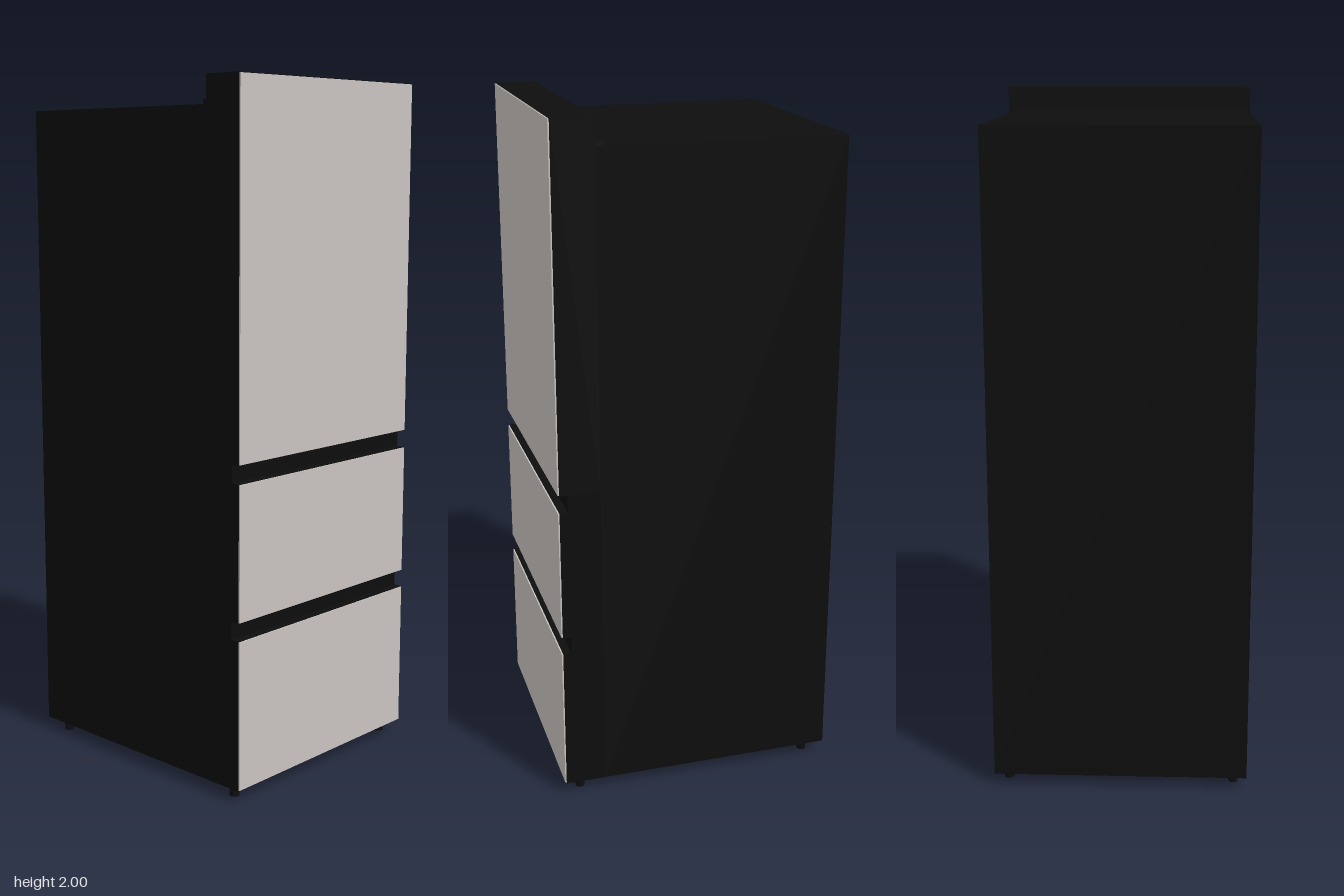
import * as THREE from 'three';

const WIDTH = 0.745, FRONT = 0.412, SEAM = 0.29, BACK = -0.412;

export function createModel() {
  const model = new THREE.Group();
  model.name = 'refrigerator';

  const black = new THREE.MeshStandardMaterial({ color: 0x0d0d0d });
  black.name = 'black casing';
  const silver = new THREE.MeshStandardMaterial({ color: 0xc9c4c0 });
  silver.name = 'warm silver';

  const add = (name, geometry, material, x = 0, y = 0, z = 0) => {
    const mesh = new THREE.Mesh(geometry, material);
    mesh.name = name;
    mesh.position.set(x, y, z);
    model.add(mesh);
    return mesh;
  };

  // Box given by its extents in y and z, centred on x
  const slab = (name, width, y0, y1, z0, z1, material) =>
    add(name, new THREE.BoxGeometry(width, y1 - y0, z1 - z0), material, 0, (y0 + y1) / 2, (z0 + z1) / 2);

  // Side profile of [z, y] points swept across the full width
  const sweep = (name, points) => {
    const shape = new THREE.Shape(points.map(([z, y]) => new THREE.Vector2(z, y)));
    const geometry = new THREE.ExtrudeGeometry(shape, { depth: WIDTH, bevelEnabled: false });
    geometry.rotateY(-Math.PI / 2).translate(WIDTH / 2, 0, 0);
    return add(name, geometry, black);
  };

  // Cabinet and the hinge cover behind the raised door
  slab('cabinet', WIDTH, 0.036, 1.922, BACK, SEAM, black);
  slab('hingeCover', 0.715, 1.922, 1.936, 0.264, SEAM, black);

  // Door and drawers: a drawer has a grip recess along its top front edge
  const skin = 0.004, gripDepth = 0.028;
  const fronts = [
    { name: 'upperDoor', bottom: 0.966, faceTop: 2, top: 2 },
    { name: 'middleDrawer', bottom: 0.524, faceTop: 0.915, top: 0.966 },
    { name: 'lowerDrawer', bottom: 0.036, faceTop: 0.473, top: 0.524 },
  ];
  for (const { name, bottom, faceTop, top } of fronts) {
    const face = FRONT - skin;
    const profile = [[SEAM, bottom], [face, bottom], [face, faceTop]];
    if (top > faceTop) profile.push([FRONT - gripDepth, faceTop], [FRONT - gripDepth, top]);
    profile.push([SEAM, top]);
    sweep(name, profile);
    // Silver front skin with a fine dark border
    slab(name + 'Panel', WIDTH - 0.004, bottom + 0.002, faceTop - 0.002, face, FRONT, silver);
  }

  // Levelling feet
  const footGeometry = new THREE.CylinderGeometry(0.014, 0.014, 0.036, 16);
  for (const x of [-0.335, 0.335])
    for (const z of [-0.356, 0.36]) add('foot', footGeometry, black, x, 0.018, z);

  return model;
}
